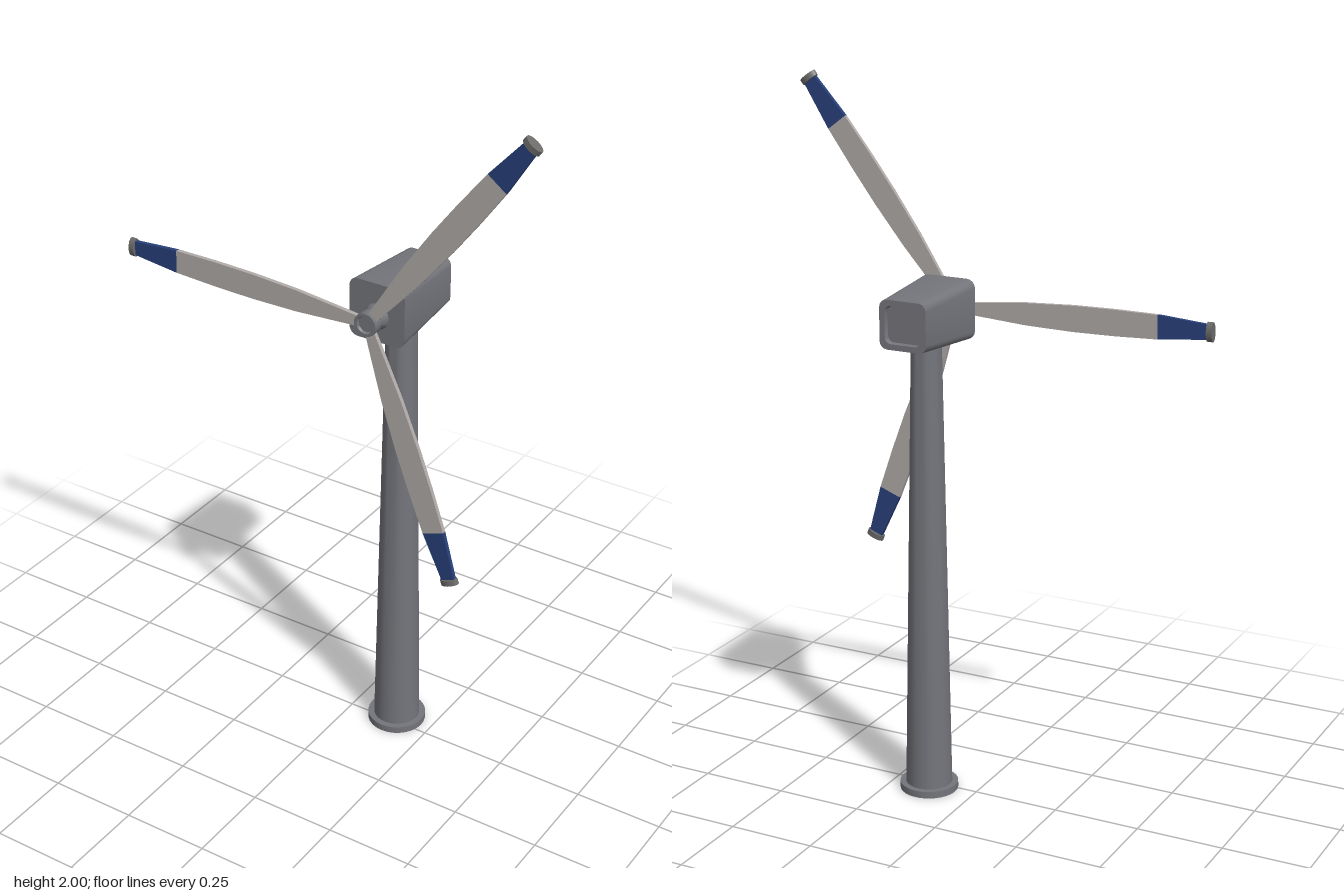
import * as THREE from 'three';
import { toCreasedNormals } from 'three/addons/utils/BufferGeometryUtils.js';

const mat = (name, color) => {
  const m = new THREE.MeshStandardMaterial({ color });
  m.name = name;
  return m;
};

// Closed surface through rounded rectangles [halfWidth, halfHeight, cornerRadius, z], front to back
function loftRoundedRects(sections) {
  const steps = 5, n = 4 * steps, pos = [], idx = [];
  for (const [w, h, r, z] of sections) {
    for (let k = 0; k < n; k++) {
      const q = Math.floor(k / steps);
      const a = (q + (k % steps) / (steps - 1)) * Math.PI / 2;
      const sx = q === 0 || q === 3 ? 1 : -1, sy = q < 2 ? 1 : -1;
      pos.push(sx * (w - r) + r * Math.cos(a), sy * (h - r) + r * Math.sin(a), z);
    }
  }
  for (let i = 0; i < sections.length - 1; i++) {
    for (let j = 0; j < n; j++) {
      const a = i * n + j, b = i * n + (j + 1) % n, c = a + n, d = b + n;
      idx.push(a, c, b, b, c, d);
    }
  }
  const g = new THREE.BufferGeometry();
  g.setAttribute('position', new THREE.Float32BufferAttribute(pos, 3));
  g.setIndex(idx);
  return toCreasedNormals(g, 0.6);
}

const lathe = (points, sides) => toCreasedNormals(
  new THREE.LatheGeometry(points.map(([x, y]) => new THREE.Vector2(x, y)), sides), 0.6);

// Flat plate along +x from a list of [distance, halfWidth]
function bladePlate(profile, thickness) {
  const upper = profile.map(([d, w]) => new THREE.Vector2(d, w));
  const lower = profile.map(([d, w]) => new THREE.Vector2(d, -w)).reverse();
  const g = new THREE.ExtrudeGeometry(new THREE.Shape([...lower, ...upper]),
    { depth: thickness, bevelEnabled: false });
  return g.translate(0, 0, -thickness / 2);
}

export function createModel() {
  const model = new THREE.Group();
  model.name = 'windTurbine';
  const grey = mat('towerGrey', 0x74757b);
  const pale = mat('bladeGrey', 0xb0aaa8);
  const blue = mat('tipBlue', 0x27407a);
  const capGrey = mat('capGrey', 0x6c6b6a);

  const add = (parent, name, geometry, material) => {
    const mesh = new THREE.Mesh(geometry, material);
    mesh.name = name;
    parent.add(mesh);
    return mesh;
  };

  const X = 0.138, HUB_Y = 1.378;

  // Tapered tower with foot flange and a hollow underside
  add(model, 'tower', lathe([
    [0, 0.06], [0.06, 0.06], [0.063, 0], [0.083, 0], [0.083, 0.02],
    [0.066, 0.02], [0.042, 1.32],
  ], 28), grey).position.set(X, 0, -0.026);

  // Machine housing, narrowing to a recessed panel at the rear
  add(model, 'nacelle', loftRoundedRects([
    [0, 0, 0, 0.098], [0.084, 0.084, 0.025, 0.098], [0.07, 0.068, 0.022, -0.157],
    [0.054, 0.052, 0.017, -0.157], [0.052, 0.05, 0.017, -0.142], [0, 0, 0, -0.142],
  ]), grey).position.set(X, 1.388, 0);

  // Rotor: hub and three blades
  const rotor = new THREE.Group();
  rotor.name = 'rotor';
  rotor.position.set(X, HUB_Y, 0.141);
  model.add(rotor);

  add(rotor, 'hub', lathe([
    [0.038, -0.045], [0.02, -0.015], [0.033, -0.015], [0.033, 0.015],
    [0.025, 0.015], [0.022, 0.008], [0, 0.008],
  ], 16).rotateX(Math.PI / 2), grey);

  const bladeGeo = bladePlate([[0.02, 0.014], [0.1, 0.021], [0.22, 0.031], [0.36, 0.036],
    [0.48, 0.036], [0.605, 0.033]], 0.012);
  const tipGeo = bladePlate([[0.605, 0.033], [0.745, 0.02]], 0.012);
  const capGeo = new THREE.CylinderGeometry(1, 1, 0.016, 16).rotateZ(Math.PI / 2)
    .scale(1, 0.027, 0.015);
  capGeo.translate(0.752, 0, 0);

  [52.9, 178.8, -69.7].forEach((angle, i) => {
    const blade = new THREE.Group();
    blade.name = `blade${i + 1}`;
    blade.rotation.z = THREE.MathUtils.degToRad(angle);
    add(blade, 'bladeBody', bladeGeo, pale);
    add(blade, 'bladeTip', tipGeo, blue);
    add(blade, 'bladeEndCap', capGeo, capGrey);
    rotor.add(blade);
  });

  return model;
}
